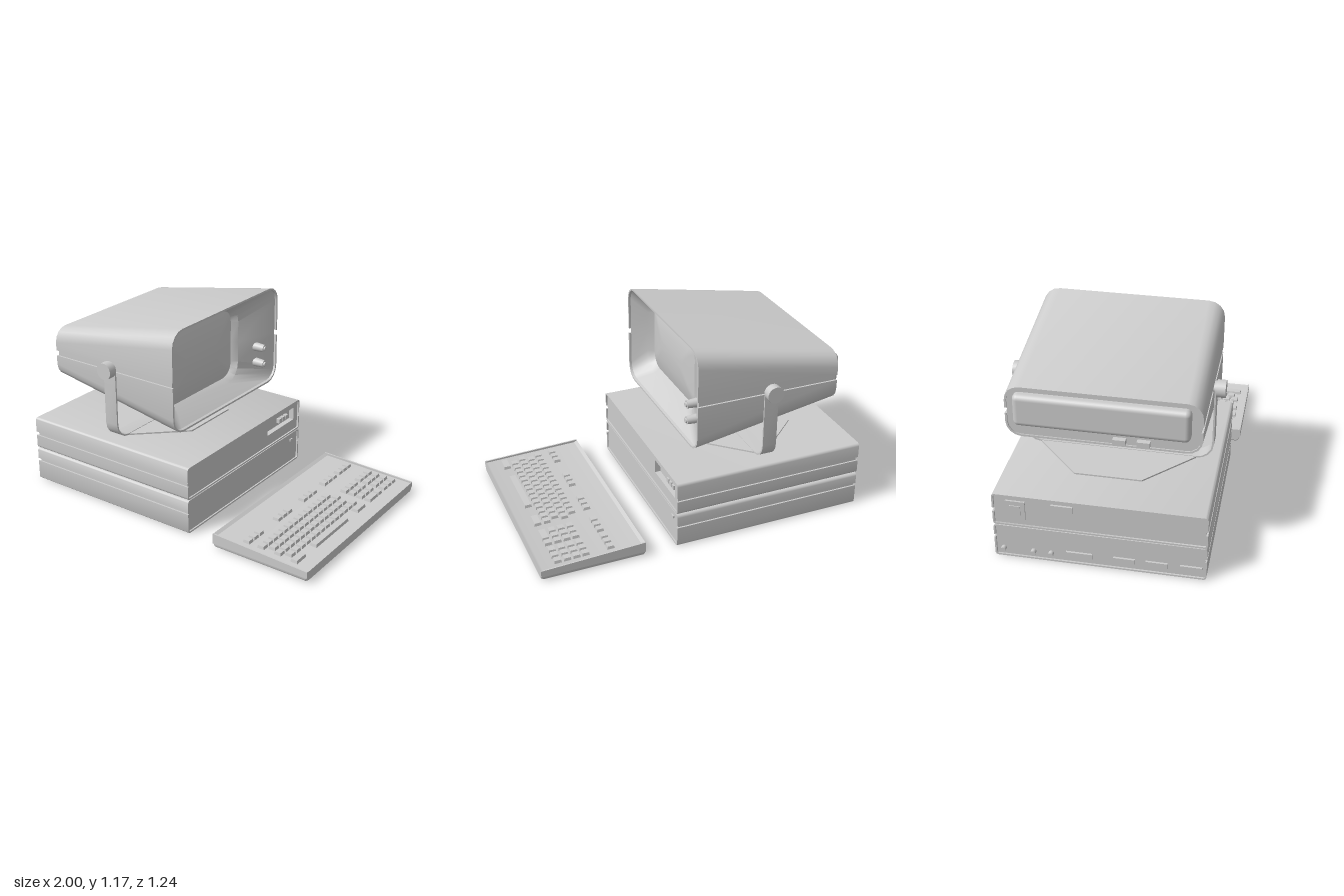
import * as THREE from 'three';
import { toCreasedNormals } from 'three/addons/utils/BufferGeometryUtils.js';
import { RoundedBoxGeometry } from 'three/addons/geometries/RoundedBoxGeometry.js';

const plastic = new THREE.MeshStandardMaterial({ color: 0xcccccc });
plastic.name = 'light grey plastic';

function add(parent, name, geo, x = 0, y = 0, z = 0) {
  const mesh = new THREE.Mesh(geo, plastic);
  mesh.name = name;
  mesh.position.set(x, y, z);
  parent.add(mesh);
  return mesh;
}

function addGroup(parent, name) {
  const g = new THREE.Group();
  g.name = name;
  parent.add(g);
  return g;
}

// Closed solid through a row of closed rings of [x, y, z], wound outwards by its volume
function loft(rings, crease = 0.6) {
  const n = rings[0].length, tris = [];
  const mid = ring => [0, 1, 2].map(k => ring.reduce((s, p) => s + p[k], 0) / n);
  const first = rings[0], last = rings[rings.length - 1];
  const c0 = mid(first), c1 = mid(last);
  for (let j = 0; j < n; j++) {
    const k = (j + 1) % n;
    for (let i = 0; i < rings.length - 1; i++) {
      const a = rings[i], b = rings[i + 1];
      tris.push([a[j], a[k], b[k]], [a[j], b[k], b[j]]);
    }
    tris.push([c0, first[k], first[j]], [c1, last[j], last[k]]);
  }
  const volume = tris.reduce((s, [a, b, c]) => s + a[0] * (b[1] * c[2] - b[2] * c[1])
    + a[1] * (b[2] * c[0] - b[0] * c[2]) + a[2] * (b[0] * c[1] - b[1] * c[0]), 0);
  if (volume < 0) tris.forEach(t => t.reverse());
  const geo = new THREE.BufferGeometry();
  geo.setAttribute('position', new THREE.Float32BufferAttribute(tris.flat(2), 3));
  return toCreasedNormals(geo, crease);
}

const ARC = 4;
const sec = (x, y0, y1, z0, z1, r) => ({ x, y0, y1, z0, z1, r });

// Upper or lower half of a rounded rectangle, as [z, y] from one seam to the other
function halfProfile(s, inset, up, seam) {
  const a = s.z0 + inset, b = s.z1 - inset, r = Math.max(s.r - inset, 0.003), d = up ? 1 : -1;
  const y = (up ? s.y1 - inset : s.y0 + inset) - d * r, pts = [[b, seam]];
  for (let k = 0; k <= ARC; k++) {
    const t = k / ARC * Math.PI / 2;
    pts.push([b - r + r * Math.cos(t), y + d * r * Math.sin(t)]);
  }
  for (let k = 0; k <= ARC; k++) {
    const t = k / ARC * Math.PI / 2;
    pts.push([a + r - r * Math.sin(t), y + d * r * Math.cos(t)]);
  }
  pts.push([a, seam]);
  return pts;
}

// Thin U-shaped cover running between two sections
function cover(f, b, thick, up, seam) {
  const [fo, fi, bo, bi] = [[f, 0], [f, thick], [b, 0], [b, thick]].map(([s, t]) => halfProfile(s, t, up, seam));
  const at = (s, p) => [s.x, p[1], p[0]];
  return loft(fo.map((_, i) => [at(f, fo[i]), at(b, bo[i]), at(b, bi[i]), at(f, fi[i])]));
}

// Full rounded rectangle ring
function ring(s, inset = 0) {
  const m = (s.y0 + s.y1) / 2;
  const top = halfProfile(s, inset, true, m), low = halfProfile(s, inset, false, m).reverse();
  return [...top.slice(0, -1), ...low.slice(0, -1)].map(p => [s.x, p[1], p[0]]);
}

const box = (w, h, d) => new THREE.BoxGeometry(w, h, d);
const cylX = (r0, r1, h, n = 16) => new THREE.CylinderGeometry(r1, r0, h, n).rotateZ(-Math.PI / 2);
const cylZ = (r, h) => new THREE.CylinderGeometry(r, r, h, 24).rotateX(Math.PI / 2);

function buildComputer(root) {
  const g = addGroup(root, 'computer');
  const cases = [['lower', 0, 0.211, 0.125, 0.142], ['upper', 0.216, 0.418, 0.302, 0.325]];
  for (const [name, y0, y1, seamLow, seamHigh] of cases) {
    const f = sec(0.187, y0, y1, -0.61, 0.575, 0.018), b = { ...f, x: -0.985 };
    add(g, name + 'CaseTopCover', cover(f, b, 0.01, true, seamHigh));
    add(g, name + 'CaseBottomCover', cover(f, b, 0.01, false, seamLow));
    const front = name === 'upper' ? 0.145 : 0.178;
    add(g, name + 'CaseBody', box(front + 0.975, y1 - y0 - 0.018, 1.163), (front - 0.975) / 2, (y0 + y1) / 2, -0.0175);
  }
  // front panel with a drive recess
  const panel = new THREE.Shape([[-0.564, 0.225], [0.599, 0.225], [0.599, 0.409], [-0.564, 0.409]]
    .map(p => new THREE.Vector2(...p)));
  panel.holes.push(new THREE.Path([[0.255, 0.295], [0.255, 0.377], [0.555, 0.377], [0.555, 0.295]]
    .map(p => new THREE.Vector2(...p))));
  add(g, 'frontPanel', new THREE.ExtrudeGeometry(panel, { depth: 0.033, bevelEnabled: false }).rotateY(Math.PI / 2), 0.145);
  for (const z of [-0.42, -0.457, -0.494]) add(g, 'driveButton', box(0.025, 0.028, 0.028), 0.155, 0.332, z);
  add(g, 'powerLight', box(0.01, 0.014, 0.03), 0.181, 0.16, -0.53);

  // rear sockets
  add(g, 'powerSocketFrame', box(0.012, 0.115, 0.11), -0.979, 0.325, -0.48);
  add(g, 'powerSocketInsert', box(0.012, 0.06, 0.06), -0.984, 0.325, -0.48);
  add(g, 'videoPort', box(0.014, 0.04, 0.12), -0.98, 0.365, -0.22);
  for (const [z, w] of [[-0.13, 0.15], [0.12, 0.12], [0.3, 0.12], [0.49, 0.12]])
    add(g, 'rearPort', box(0.014, 0.035, w), -0.98, 0.06, z);
  for (const z of [-0.56, -0.39, -0.29]) add(g, 'roundPort', cylX(0.015, 0.015, 0.025), -0.9875, 0.05, z);
}

function buildMonitor(root) {
  const g = addGroup(root, 'monitor');
  const f = sec(0.043, 0.55, 1.17, -0.55, 0.512, 0.095), b = sec(-0.83, 0.708, 1.012, -0.55, 0.512, 0.085);
  add(g, 'upperShell', cover(f, b, 0.011, true, 0.878));
  add(g, 'lowerShell', cover(f, b, 0.011, false, 0.845));

  // inner body with a funnel bezel leading to the screen
  const screen = sec(-0.1, 0.645, 1.077, -0.247, 0.427, 0.085);
  add(g, 'bodyAndBezel', loft([ring({ ...b, x: -0.822 }, 0.011), ring({ ...f, x: 0.03 }, 0.012),
    ring({ ...screen, x: -0.06 }, -0.025), ring(screen)], 0.7));
  add(g, 'screen', loft([[-0.11, 0], [-0.098, 0], [-0.084, 0.05], [-0.074, 0.11], [-0.068, 0.18]]
    .map(([x, i]) => ring({ ...screen, x, r: Math.max(0.085, i + 0.02) }, i))));
  for (const y of [0.797, 0.695]) {
    add(g, 'controlKnob', cylX(0.029, 0.023, 0.085, 20), 0.005, y, -0.405);
    add(g, 'controlKnobCap', cylX(0.015, 0.013, 0.012, 16), 0.05, y, -0.405);
  }

  // rear housing and sockets
  add(g, 'rearHousing', new RoundedBoxGeometry(0.08, 0.19, 0.95, 3, 0.03), -0.83, 0.885, -0.025);
  for (const z of [0.07, 0.2]) add(g, 'rearSocket', box(0.035, 0.03, 0.07), -0.835, 0.745, z);
}

function buildStand(root) {
  const g = addGroup(root, 'stand');
  const s = sec(-0.36, 0.42, 1, -0.568, 0.53, 0.1);
  add(g, 'yoke', cover(s, { ...s, x: -0.445 }, 0.01, false, 0.865));
  const half = [[0.042, 0.45], [0.32, 0.19]];
  const outline = [...half, ...half.map(([x, z]) => [x, -z]).reverse()];
  const plate = new THREE.Shape([...outline, ...outline.map(([x, z]) => [-x, -z])]
    .map(p => new THREE.Vector2(...p)));
  add(g, 'basePlate', new THREE.ExtrudeGeometry(plate, { depth: 0.009, bevelEnabled: false })
    .rotateX(-Math.PI / 2), -0.405, 0.418, -0.019);
  for (const side of [1, -1]) {
    const at = d => -0.019 + side * d;
    add(g, 'yokeEnd', cylZ(0.0425, 0.01), -0.4025, 0.865, at(0.544));
    add(g, 'pivotPin', cylZ(0.02, 0.06), -0.4025, 0.865, at(0.53));
    add(g, 'tighteningKnob', cylZ(0.05, 0.05), -0.4025, 0.865, at(0.574));
  }
}

// Key with a narrower top
function keyGeometry(w, d) {
  const geo = box(w, 0.03, d), p = geo.attributes.position;
  for (let i = 0; i < p.count; i++) if (p.getY(i) > 0) {
    p.setX(i, p.getX(i) - Math.sign(p.getX(i)) * 0.006);
    p.setZ(i, p.getZ(i) - Math.sign(p.getZ(i)) * 0.006);
  }
  geo.computeVertexNormals();
  return geo;
}

function buildKeyboard(root) {
  const g = addGroup(root, 'keyboard');
  const slice = (z, lift) => [[0.386, 0.01 + lift], [0.395, lift], [0.985, lift], [1, 0.012 + lift],
    [1, 0.066], [0.985, 0.06], [0.405, 0.078], [0.386, 0.09]].map(([x, y]) => [x, y, z]);
  add(g, 'tray', loft([slice(-0.618, 0.018), slice(-0.612, 0.006), slice(-0.6, 0),
    slice(0.59, 0), slice(0.602, 0.006), slice(0.608, 0.018)], 0.5));
  const wall = z => [[0.386, 0.03], [1, 0.03], [1, 0.069], [0.386, 0.092]].map(([x, y]) => [x, y, z]);
  for (const z of [-0.624, 0.606]) add(g, 'sideLip', loft([wall(z), wall(z + 0.009)]));

  const key = (x, z, len = 0.048) =>
    add(g, 'key', keyGeometry(0.049, len), x, 0.08 - 0.031 * (x - 0.405), z);
  const step = 0.0525, cols = [0.671, 0.725, 0.778, 0.832, 0.888];
  // function keys in groups
  for (const z of [-0.505, -0.328, -0.088, 0.19, 0.49])
    for (const k of [-1, 0, 1]) key(0.577, z + k * step);
  // number and cursor pads
  for (const k of [-1, 0, 1]) for (const x of cols.slice(1)) {
    key(x, -0.505 + k * step);
    if (x !== cols[4]) key(x, -0.328 + k * step);
  }
  key(cols[4], -0.38);
  key(cols[4], -0.302, 0.1);
  // staggered letter rows
  [-0.142, -0.17, -0.145, -0.172].forEach((z, i) => {
    for (let k = 0; k < 14; k++) key(cols[i], z + k * step);
  });
  // bottom row with the space bar
  key(cols[4], -0.148, 0.098);
  key(cols[4], 0.187, 0.362);
  key(cols[4], 0.52, 0.098);
}

export function createModel() {
  const model = new THREE.Group();
  model.name = 'desktopComputer';
  buildComputer(model);
  buildMonitor(model);
  buildStand(model);
  buildKeyboard(model);
  return model;
}
